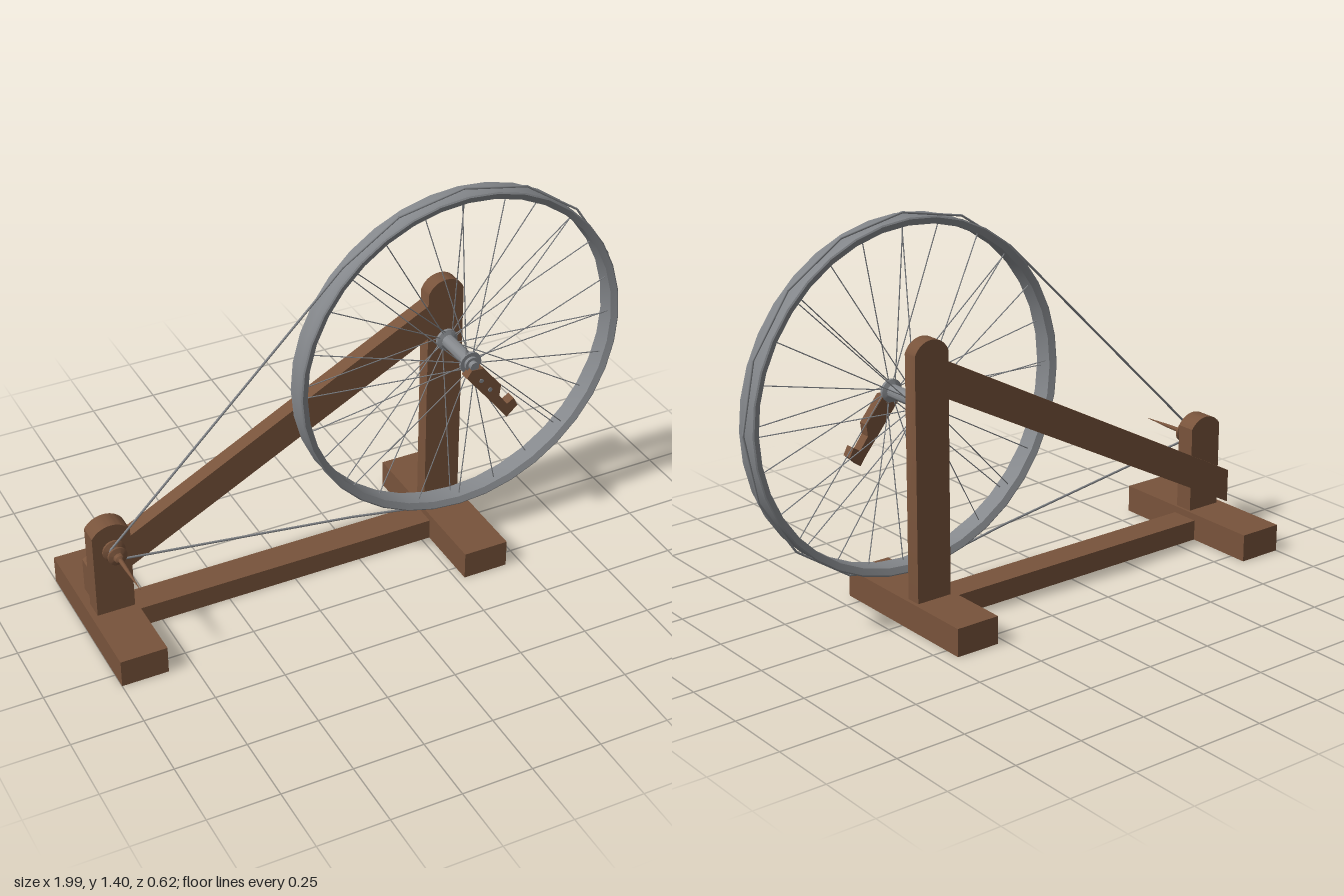
import * as THREE from 'three';
import { toCreasedNormals } from 'three/addons/utils/BufferGeometryUtils.js';

export function createModel() {
  const root = new THREE.Group();
  root.name = 'spinningWheel';

  const wood = new THREE.MeshStandardMaterial({ color: 0x78533b });
  wood.name = 'wood';
  const metal = new THREE.MeshStandardMaterial({ color: 0x85888c });
  metal.name = 'metal';

  const add = (parent, name, geometry, material) => {
    const mesh = new THREE.Mesh(geometry, material);
    mesh.name = name;
    parent.add(mesh);
    return mesh;
  };

  // Box given by its limits
  const block = (name, x0, x1, y0, y1, z0, z1) =>
    add(root, name, new THREE.BoxGeometry(x1 - x0, y1 - y0, z1 - z0), wood)
      .position.set((x0 + x1) / 2, (y0 + y1) / 2, (z0 + z1) / 2);

  // Front outline extruded between two depths
  const plank = (name, shape, z0, z1) => {
    const g = new THREE.ExtrudeGeometry(shape, { depth: z1 - z0, bevelEnabled: false, curveSegments: 10 });
    g.translate(0, 0, z0);
    return add(root, name, toCreasedNormals(g, 0.6), wood);
  };
  const outline = pts => new THREE.Shape(pts.map(p => new THREE.Vector2(...p)));

  // Post with an arched top
  const archedPost = (name, cx, half, shoulder, top, z0, z1) => {
    const sag = top - shoulder;
    const r = (half * half + sag * sag) / (2 * sag);
    const a = Math.asin(half / r);
    const s = new THREE.Shape();
    s.moveTo(cx - half, 0.1);
    s.lineTo(cx + half, 0.1);
    s.lineTo(cx + half, shoulder);
    s.absarc(cx, top - r, r, Math.PI / 2 - a, Math.PI / 2 + a, false);
    s.closePath();
    plank(name, s, z0, z1);
  };

  // Thin round rod between two points
  const rod = (parent, name, a, b, r, material, sides = 6) => {
    const d = b.clone().sub(a);
    const m = add(parent, name, new THREE.CylinderGeometry(r, r, d.length(), sides), material);
    m.position.copy(a).add(b).multiplyScalar(0.5);
    m.quaternion.setFromUnitVectors(new THREE.Vector3(0, 1, 0), d.normalize());
  };

  // Turned part whose axis runs along z; profile is [radius, z]
  const turned = (parent, name, profile, material, sides = 24) => {
    const g = new THREE.LatheGeometry(profile.map(p => new THREE.Vector2(...p)), sides);
    g.rotateX(Math.PI / 2);
    return add(parent, name, toCreasedNormals(g, 0.6), material);
  };

  // Frame
  block('leftFoot', 0.28, 0.445, 0, 0.1, -0.312, 0.312);
  block('rightFoot', -1, -0.835, 0, 0.1, -0.312, 0.312);
  block('baseBeam', -0.835, 0.28, 0, 0.075, -0.053, 0.053);
  archedPost('wheelPost', 0.364, 0.067, 0.96, 1.007, -0.075, -0.02);
  archedPost('spindlePost', -0.912, 0.067, 0.415, 0.452, -0.016, 0.054);
  plank('diagonalBrace', outline([[-0.975, 0.124], [0.3, 0.792], [0.3, 0.922], [-0.975, 0.247]]), -0.075, -0.02);

  // Wheel
  const wheel = new THREE.Group();
  wheel.name = 'wheel';
  wheel.position.set(0.365, 0.775, 0.075);
  root.add(wheel);

  // Rim with a channel round the outside
  turned(wheel, 'rim', [
    [0.585, -0.034], [0.607, -0.043], [0.612, -0.04], [0.609, -0.03], [0.598, -0.013],
    [0.598, 0.013], [0.609, 0.03], [0.612, 0.04], [0.607, 0.043], [0.585, 0.034], [0.585, -0.034],
  ], metal, 36);

  // Hub with two flanges and the axle end
  turned(wheel, 'hub', [
    [0, -0.096], [0.028, -0.096], [0.028, -0.09], [0.04, -0.09], [0.04, -0.08], [0.024, -0.074],
    [0.024, 0.068], [0.04, 0.074], [0.04, 0.084], [0.026, 0.084], [0.026, 0.095],
    [0.016, 0.095], [0.016, 0.112], [0, 0.112],
  ], metal, 20);

  // Spokes: alternate flanges, crossed pairs at every eighth of a turn
  const spokeAt = (angle, side, offset) => {
    const c = Math.cos(angle), s = Math.sin(angle);
    const point = (r, o, z) => new THREE.Vector3(r * c - o * s, r * s + o * c, z);
    rod(wheel, 'spoke', point(0.03, offset, side * 0.08), point(0.587, offset * 0.6, side * 0.012), 0.002, metal, 5);
  };
  for (let i = 0; i < 24; i++) {
    const a = i * Math.PI / 12;
    if (i % 3 === 0) {
      spokeAt(a, 1, 0.018);
      spokeAt(a, -1, -0.018);
    } else {
      spokeAt(a, i % 2 ? 1 : -1, 0);
    }
  }

  // Crank arm with hooked end, and its screws
  plank('crank', outline([
    [0.334, 0.738], [0.352, 0.765], [0.398, 0.762], [0.468, 0.676], [0.463, 0.634], [0.495, 0.591],
    [0.521, 0.607], [0.537, 0.575], [0.495, 0.537], [0.475, 0.565],
  ].reverse()), 0.153, 0.19);
  for (const [x, y] of [[0.39, 0.715], [0.425, 0.67]]) {
    rod(root, 'screw', new THREE.Vector3(x, y, 0.18), new THREE.Vector3(x, y, 0.193), 0.008, metal, 10);
  }

  // Spindle: grooved pulley and long spike
  turned(root, 'spindle', [
    [0, 0.05], [0.03, 0.05], [0.03, 0.062], [0.04, 0.066], [0.04, 0.073], [0.022, 0.082],
    [0.022, 0.093], [0.034, 0.099], [0.034, 0.106], [0.018, 0.112], [0.015, 0.124],
    [0.008, 0.13], [0.007, 0.18], [0.0005, 0.3],
  ], wood, 20).position.set(-0.911, 0.36, 0);

  // Drive cord round the wheel and the pulley
  const path = [];
  for (let i = -3; i <= 6; i++) {
    const a = i * Math.PI / 8;
    path.push([0.365 + 0.622 * Math.cos(a), 0.775 + 0.622 * Math.sin(a), 0.075]);
  }
  path.push([-0.927, 0.382, 0.088], [-0.936, 0.357, 0.088], [-0.915, 0.335, 0.088], [-0.875, 0.33, 0.088],
    [-0.045, 0.215, 0.078], [0.275, 0.157, 0.075], [0.365, 0.155, 0.075], [0.603, 0.2, 0.075]);
  const points = path.map(p => new THREE.Vector3(...p));
  points.forEach((p, i) => {
    const q = points[(i + 1) % points.length];
    if (p.distanceTo(q) > 0.001) rod(root, 'driveCord', p, q, 0.004, metal);
  });

  return root;
}
